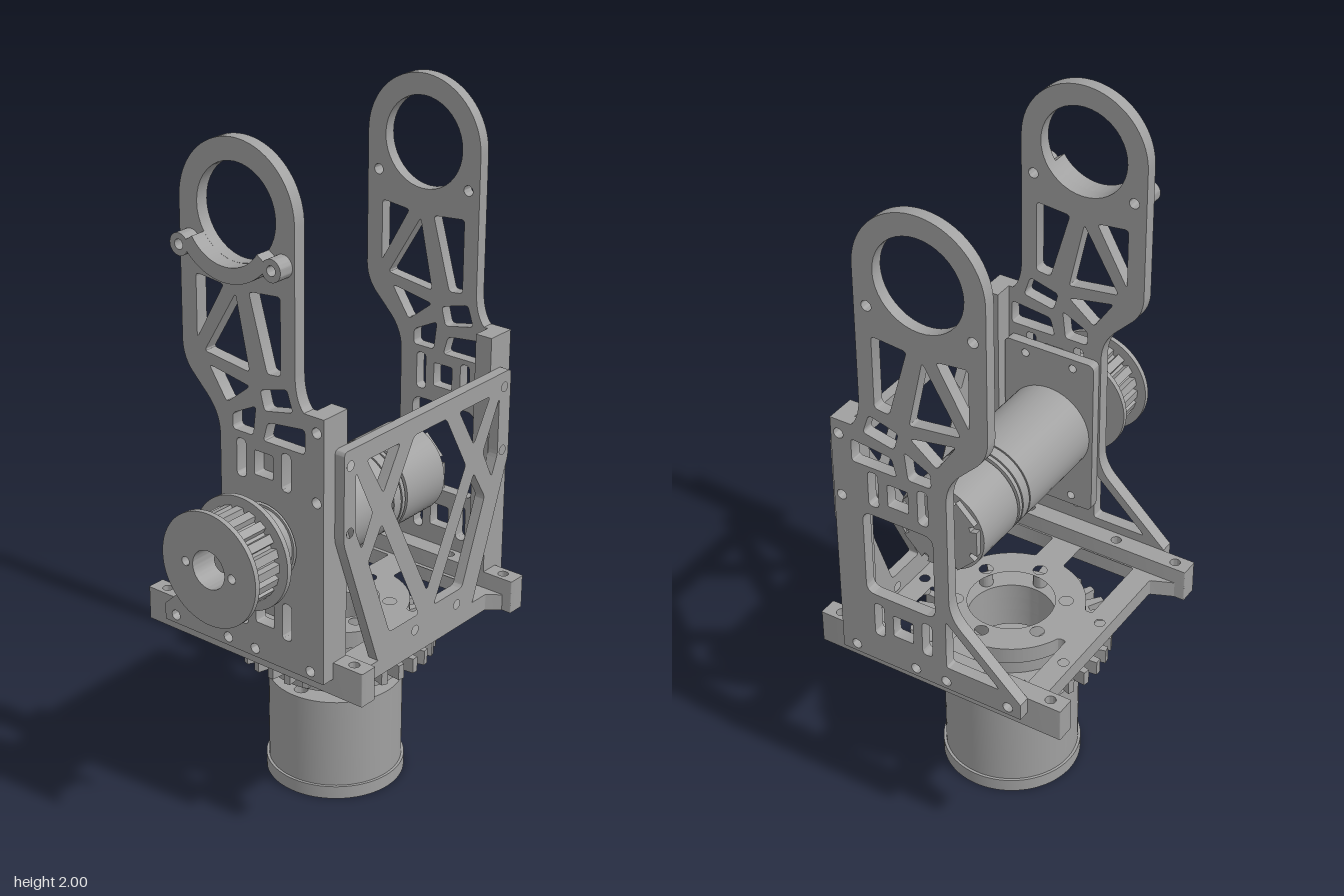
import * as THREE from 'three';
import { toCreasedNormals } from 'three/addons/utils/BufferGeometryUtils.js';

const grey = new THREE.MeshStandardMaterial({ color: 0xa0a0a0 });
grey.name = 'machined grey';

const AX = 0.085, AY = 0.915;   // motor axis
const TZ = -0.11;               // turntable axis

// Outline through corner points, each corner rounded by r
function rounded(path, pts, r) {
  const n = pts.length, v = pts.map(p => new THREE.Vector2(p[0], p[1]));
  for (let i = 0; i < n; i++) {
    const c = v[i], a = v[(i + n - 1) % n], b = v[(i + 1) % n];
    const k = Math.min(r, c.distanceTo(a) * 0.45, c.distanceTo(b) * 0.45);
    const p = c.clone().add(a.clone().sub(c).setLength(k));
    const q = c.clone().add(b.clone().sub(c).setLength(k));
    if (i) path.lineTo(p.x, p.y); else path.moveTo(p.x, p.y);
    path.quadraticCurveTo(c.x, c.y, q.x, q.y);
  }
  path.closePath();
  return path;
}
const shapeOf = (pts, r = 0.004) => rounded(new THREE.Shape(), pts, r);
const cut = (s, pts, r = 0.012) => s.holes.push(rounded(new THREE.Path(), pts, r));
const bore = (s, x, y, r) => s.holes.push(new THREE.Path().absarc(x, y, r, 0, Math.PI * 2, true));
const rect = (x0, x1, y0, y1) => [[x0, y0], [x1, y0], [x1, y1], [x0, y1]];
const disc = r => new THREE.Shape().absarc(0, 0, r, 0, Math.PI * 2, false);

function gearShape(n, root, tip, w0 = 0.32, w1 = 0.17) {
  const pts = [], step = Math.PI * 2 / n;
  for (let i = 0; i < n; i++)
    for (const [o, r] of [[-w0, root], [-w1, tip], [w1, tip], [w0, root]]) {
      const a = (i + o) * step;
      pts.push(new THREE.Vector2(Math.cos(a) * r, Math.sin(a) * r));
    }
  return new THREE.Shape(pts);
}

export function createModel() {
  const model = new THREE.Group();
  model.name = 'turretFrame';

  const add = (name, geo, x = 0, y = 0, z = 0) => {
    const m = new THREE.Mesh(geo, grey);
    m.name = name;
    m.position.set(x, y, z);
    model.add(m);
    return m;
  };
  const extrude = (s, depth, seg = 20) => toCreasedNormals(
    new THREE.ExtrudeGeometry(s, { depth, bevelEnabled: false, curveSegments: seg }), 0.5);
  const flat = (s, depth, seg) => extrude(s, depth, seg).rotateX(-Math.PI / 2);
  const box = (name, x0, x1, y0, y1, z0, z1) => add(name, new THREE.BoxGeometry(x1 - x0, y1 - y0, z1 - z0),
    (x0 + x1) / 2, (y0 + y1) / 2, (z0 + z1) / 2);
  const rod = (name, r, x, y, z0, z1) => add(name,
    new THREE.CylinderGeometry(r, r, z1 - z0, 32).rotateX(Math.PI / 2), x, y, (z0 + z1) / 2);

  // Tall truss plates, front and back
  function sidePlate(name, z, depth, back) {
    const s = new THREE.Shape();
    s.moveTo(-0.285, 0.55);
    s.lineTo(0.288, 0.55);
    s.lineTo(0.288, 1.32);
    s.lineTo(0.222, 1.32);
    s.quadraticCurveTo(0.193, 1.35, 0.193, 1.42);
    s.lineTo(0.193, 1.807);
    s.absarc(0, 1.807, 0.193, 0, Math.PI, false);
    s.lineTo(-0.193, 1.42);
    s.quadraticCurveTo(-0.193, 1.37, -0.16, 1.335);
    s.lineTo(-0.11, 1.285);
    s.quadraticCurveTo(-0.065, 1.24, -0.065, 1.18);
    s.lineTo(-0.065, 0.86);
    s.quadraticCurveTo(-0.065, 0.81, -0.1, 0.775);
    s.lineTo(-0.285, 0.6);
    s.closePath();
    bore(s, 0, 1.807, 0.132);
    // truss openings
    cut(s, [[-0.14, 1.615], [-0.045, 1.605], [-0.14, 1.435]]);
    cut(s, [[-0.005, 1.59], [0.04, 1.385], [-0.115, 1.405]]);
    cut(s, [[0.04, 1.605], [0.145, 1.615], [0.145, 1.4], [0.1, 1.395]]);
    cut(s, [[-0.1, 1.37], [0.04, 1.345], [-0.04, 1.28]]);
    cut(s, [[0.075, 1.345], [0.165, 1.37], [0.185, 1.31], [0.09, 1.29]]);
    cut(s, [[0.1, 1.26], [0.225, 1.275], [0.225, 1.205], [0.085, 1.205]]);
    cut(s, [[-0.02, 1.255], [0.06, 1.295], [0.05, 1.21], [-0.02, 1.21]]);
    cut(s, [[-0.22, 0.625], [-0.052, 0.625], [-0.052, 0.785]]);
    // motor opening, adjustment slots and windows
    if (back) cut(s, rect(-0.02, 0.2, 0.78, 1.05), 0.03);
    else bore(s, AX, AY, 0.11);
    for (const y of [0.64, 1.08]) {
      for (const x of [0.008, 0.162]) cut(s, rect(x - 0.016, x + 0.016, y, y + 0.11), 0.016);
      cut(s, rect(AX - 0.032, AX + 0.032, y + 0.02, y + 0.09), 0.006);
    }
    for (const [x, y] of [[-0.245, 0.575], [-0.05, 0.575], [0.048, 0.575], [0.243, 0.575], [0.264, 1.277],
      [0.264, 1.08], [-0.155, 1.7], [0.155, 1.7]]) bore(s, x, y, 0.015);
    add(name, extrude(s, depth), 0, 0, z);
  }
  sidePlate('frontPlate', 0.257, 0.038, false);
  sidePlate('backPlate', -0.515, 0.035, true);

  // Curved clamp under the front ring
  const clamp = new THREE.Shape();
  const a0 = Math.PI * 1.19, a1 = Math.PI * 1.81;
  clamp.absarc(0, 0, 0.175, a0, a1, false);
  clamp.absarc(0, 0, 0.132, a1, a0, true);
  add('ringClamp', extrude(clamp, 0.046), 0, 1.807, 0.295);
  for (const sx of [-1, 1]) {
    const ear = disc(0.031);
    bore(ear, 0, 0, 0.014);
    add('clampEar', extrude(ear, 0.046), sx * 0.155, 1.7, 0.295);
  }

  // Corner posts
  for (const [z0, z1] of [[0.2, 0.257], [-0.48, -0.425]]) box('cornerPost', 0.235, 0.288, 0.55, 1.32, z0, z1);

  // Side truss panel (shape x runs towards the back)
  const panel = shapeOf([[-0.25, 1.222], [0.48, 1.222], [0.48, 0.96], [0.33, 0.545], [-0.1, 0.545], [-0.25, 0.96]], 0.015);
  const C = 0.113;
  for (const s of [-1, 1]) {
    const half = pts => pts.map(([x, y]) => [C + s * x, y]);
    cut(panel, half([[0.13, 1.17], [0.27, 1.17], [0.2, 1.05]]));
    cut(panel, half([[0.315, 1.15], [0.245, 1.01], [0.29, 0.92], [0.315, 0.98]]));
    cut(panel, half([[0.205, 0.96], [0.035, 0.62], [0.165, 0.62], [0.26, 0.87]]));
    for (const y of [1.177, 0.985]) bore(panel, C + s * 0.338, y, 0.014);
    bore(panel, 0.16 + s * 0.096, 0.575, 0.014);
  }
  cut(panel, [[C - 0.07, 1.17], [C + 0.07, 1.17], [C + 0.165, 1.0], [C, 0.68], [C - 0.165, 1.0]]);
  add('sidePanel', extrude(panel, 0.031).rotateY(Math.PI / 2), 0.288, 0, 0);

  // Base plate with turntable ring and four openings (shape y is -z)
  const base = shapeOf([[-0.29, -0.2], [-0.36, -0.2], [-0.29, -0.17], [-0.29, 0.395], [-0.36, 0.425], [0.36, 0.425],
    [0.319, 0.395], [0.319, -0.17], [0.36, -0.2]], 0.006);
  bore(base, 0, -TZ, 0.125);
  for (const sx of [-1, 1]) for (const sy of [-1, 1]) {
    const pts = [[0.047, 0.303], [0.223, 0.303], [0.223, 0.07]];
    for (let i = 0; i <= 8; i++) {
      const a = 0.34 + i * 0.126;
      pts.push([0.212 * Math.cos(a), 0.212 * Math.sin(a)]);
    }
    cut(base, pts.map(([x, y]) => [sx * x, -TZ + sy * y]), 0.008);
  }
  const ringBolts = (s, cy) => {
    for (let i = 0; i < 6; i++) {
      const a = Math.PI / 6 + i * Math.PI / 3;
      bore(s, 0.155 * Math.cos(a), cy + 0.155 * Math.sin(a), 0.02);
    }
  };
  ringBolts(base, -TZ);
  for (const [x, y] of [[-0.263, 0.26], [-0.263, 0.065], [0.26, 0.16], [0.26, -0.03]]) bore(base, x, y, 0.015);
  add('basePlate', flat(base, 0.05), 0, 0.5, 0);

  // Cross rails
  for (const z of [0.226, -0.453]) {
    const rail = shapeOf(rect(-0.387, 0.387, -0.028, 0.028));
    for (const x of [-0.34, -0.146, 0.146, 0.338]) bore(rail, x, 0, 0.015);
    add('crossRail', flat(rail, 0.1), 0, 0.5, z);
  }

  // Turntable: rings, gear and hollow pedestal
  const turn = (name, s, y0, y1) => {
    bore(s, 0, 0, 0.125);
    ringBolts(s, 0);
    add(name, flat(s, y1 - y0, 40), 0, y0, TZ);
  };
  turn('upperRing', disc(0.202), 0.455, 0.5);
  turn('turntableGear', gearShape(32, 0.235, 0.288), 0.41, 0.455);
  turn('lowerRing', disc(0.202), 0.355, 0.41);
  turn('pedestal', disc(0.194), 0.04, 0.315);
  turn('pedestalFlange', disc(0.202), 0, 0.04);

  // Motor mount plate behind the front plate
  const mount = shapeOf(rect(-0.06, 0.23, 0.67, 1.17), 0.02);
  bore(mount, AX, AY, 0.1);
  for (const y of [0.7, 1.14]) for (const x of [0.008, 0.162]) bore(mount, x, y, 0.012);
  add('motorMount', extrude(mount, 0.03), 0, 0, 0.226);

  // Motor body: radius, z pairs from back to front
  const profile = [[0, -0.318], [0.134, -0.318], [0.134, -0.15], [0.05, -0.15], [0.05, -0.14], [0.134, -0.14],
    [0.134, -0.127], [0.129, -0.127], [0.129, -0.122], [0.134, -0.122], [0.134, -0.091], [0.13, -0.091],
    [0.13, -0.086], [0.134, -0.086], [0.134, 0.226], [0.104, 0.226], [0.104, 0.296], [0, 0.296]];
  const body = new THREE.LatheGeometry(profile.map(p => new THREE.Vector2(...p)), 48).rotateX(Math.PI / 2);
  add('motor', toCreasedNormals(body, 0.5), AX, AY, 0);
  add('motorEndCap', extrude(gearShape(8, 0.108, 0.128, 0.42, 0.4), 0.018), AX, AY, -0.336);
  rod('motorTail', 0.024, AX, AY, -0.361, -0.33);

  // Drive pulley: hub, toothed drum and two flanges
  const pulley = (name, s, z0, z1) => {
    bore(s, 0, 0, 0.055);
    for (const x of [-0.08, 0.08]) bore(s, x, 0, 0.013);
    add(name, extrude(s, z1 - z0, 32), AX, AY, z0);
  };
  pulley('pulleyHub', disc(0.097), 0.29, 0.376);
  pulley('pulleyFlange', disc(0.162), 0.375, 0.39);
  pulley('pulleyDrum', gearShape(20, 0.118, 0.135, 0.38, 0.28), 0.39, 0.5);
  pulley('pulleyFlange', disc(0.162), 0.5, 0.515);
  rod('driveShaft', 0.03, AX, AY, 0.29, 0.46);

  return model;
}
